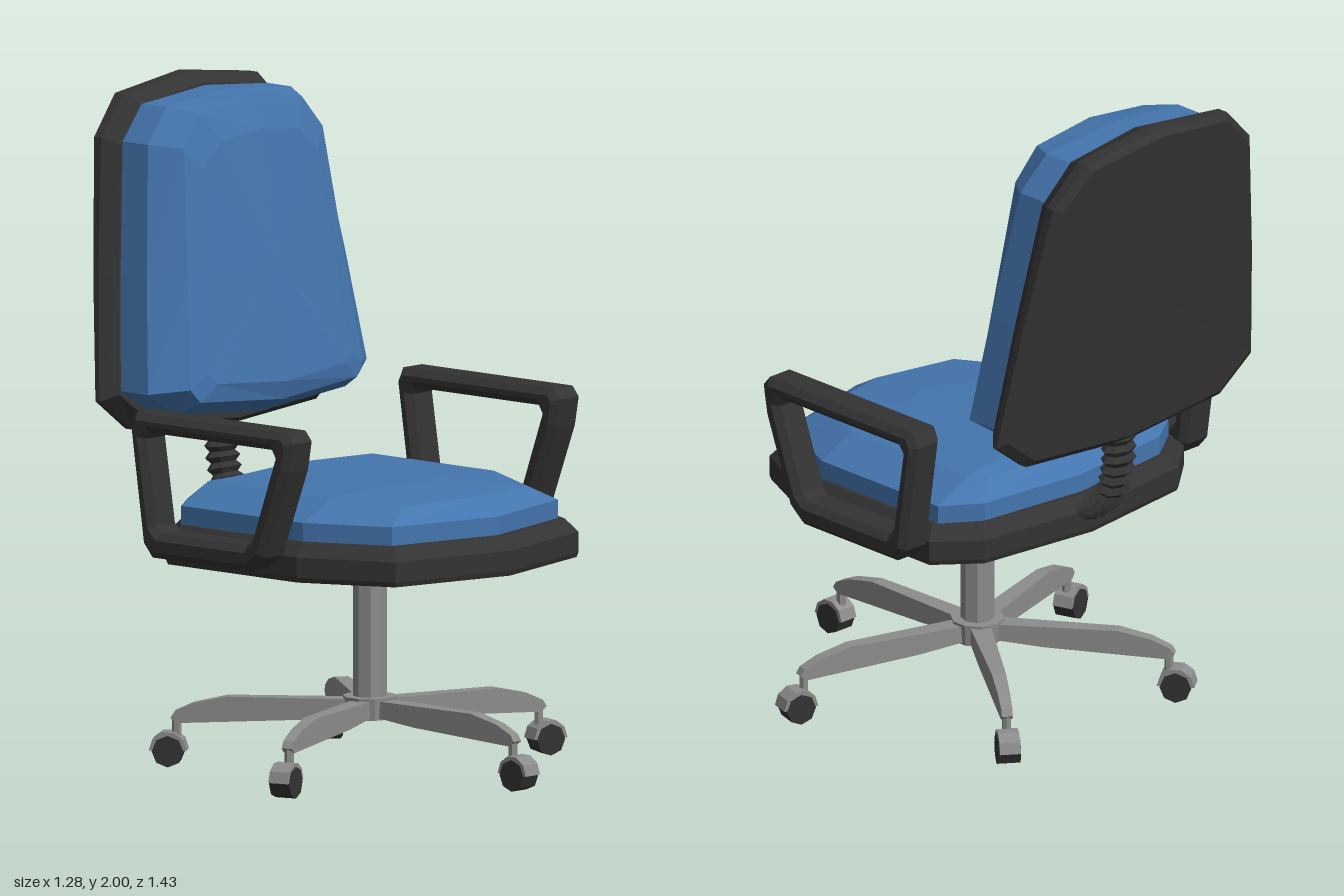
import * as THREE from 'three';

const mat = (color, side = THREE.FrontSide) =>
  new THREE.MeshStandardMaterial({ color, side, flatShading: true });
const BLUE = mat(0x4475ae), DARK = mat(0x333333), METAL = mat(0x8c8c8c);
const COVER = mat(0x8c8c8c, THREE.DoubleSide);

function add(parent, name, geometry, material, x = 0, y = 0, z = 0) {
  const mesh = new THREE.Mesh(geometry, material);
  mesh.name = name;
  mesh.position.set(x, y, z);
  parent.add(mesh);
  return mesh;
}

// Completes a half outline (first and last point on x = 0) by mirroring
const mirror = (half) => half.concat(half.slice(1, -1).reverse().map(([x, y, z]) => [-x, y, z]));

// Skin over closed rings, each end fanned to a centre point
function loft(rings, startCentre, endCentre) {
  const n = rings[0].length, points = rings.flat(), index = [];
  const a = points.push(startCentre) - 1, b = points.push(endCentre) - 1;
  const last = (rings.length - 1) * n;
  for (let i = 0; i < n; i++) {
    const j = (i + 1) % n;
    for (let r = 0; r < last; r += n) index.push(r + i, r + j, r + n + j, r + i, r + n + j, r + n + i);
    index.push(a, j, i, b, last + i, last + j);
  }
  // Turn the faces outward if the enclosed volume comes out negative
  const v = points.map((p) => new THREE.Vector3(...p));
  let volume = 0;
  for (let k = 0; k < index.length; k += 3)
    volume += v[index[k]].dot(v[index[k + 1]].clone().cross(v[index[k + 2]]));
  if (volume < 0) index.reverse();
  const g = new THREE.BufferGeometry();
  g.setAttribute('position', new THREE.Float32BufferAttribute(points.flat(), 3));
  g.setIndex(index);
  g.computeVertexNormals();
  return g;
}

// Side profile (z, y) extruded along x and centred on x = 0; holes run opposite to the outline
function sideExtrude(outline, hole, width, bevel) {
  const toPoints = (list) => list.map(([z, y]) => new THREE.Vector2(z, y));
  const shape = new THREE.Shape(toPoints(outline));
  if (hole) shape.holes.push(new THREE.Path(toPoints(hole)));
  const depth = width - 2 * bevel;
  const g = new THREE.ExtrudeGeometry(shape, {
    depth, bevelEnabled: bevel > 0, bevelThickness: bevel, bevelSize: bevel, bevelOffset: -bevel, bevelSegments: 1,
  });
  return g.translate(0, 0, -depth / 2).rotateY(-Math.PI / 2);
}

function addSeat(chair) {
  // Rings are [x, z] from front centre to back centre
  const pan = [[0, .63], [.398, .533], [.525, .255], [.525, -.265], [.4, -.37], [0, -.42]];
  const panRing = (y, s) => mirror(pan.map(([x, z]) => [x * s, y, .1 + (z - .1) * s]));
  add(chair, 'seatPan', loft([panRing(.635, .99), panRing(.65, 1), panRing(.71, 1), panRing(.75, .93)],
    [0, .635, .1], [0, .75, .1]), DARK);

  const side = [[0, .575], [.36, .485], [.475, .235], [.475, -.25], [.36, -.33], [0, -.37]];
  const sideRing = (y) => mirror(side.map(([x, z]) => [x, y, z]));
  const shoulder = [[0, .855, .49], [.27, .85, .44], [.355, .865, .235], [.355, .865, -.25], [.3, .855, -.28], [0, .86, -.31]];
  const crown = [[0, .878, .3], [.1, .878, .25], [.12, .878, .2], [.12, .878, -.2], [.1, .878, -.23], [0, .878, -.25]];
  add(chair, 'seatCushion', loft([sideRing(.73), sideRing(.805), mirror(shoulder), mirror(crown)],
    [0, .73, .1], [0, .88, 0]), BLUE);
}

function addBackrest(chair) {
  // Rings are [x, y] from top centre to bottom centre; depth leans back with height
  const lean = (y, w) => w - .14 * (y - 1);
  const ring = (half, w, bend) => mirror(half.map(([x, y]) => [x, y, lean(y, w) + bend * x * x]));
  const shrink = (half, sx, sy) => half.map(([x, y]) => [x * sx, 1.48 + (y - 1.48) * sy]);

  const shell = [[0, 2], [.29, 1.965], [.405, 1.85], [.475, 1.45], [.525, 1.09], [.4, .995], [0, .965]];
  add(chair, 'backShell', loft([
    ring(shrink(shell, .95, .96), -.575, .1), ring(shell, -.555, .08),
    ring(shell, -.51, -.03), ring(shrink(shell, .92, .95), -.455, -.08),
  ], [0, 1.48, lean(1.48, -.575)], [0, 1.48, lean(1.48, -.455)]), DARK);

  const edge = [[0, 1.965], [.27, 1.94], [.365, 1.84], [.43, 1.45], [.475, 1.12], [.37, 1.05], [0, 1.02]];
  const face = [[0, 1.95], [.22, 1.925], [.3, 1.83], [.34, 1.45], [.375, 1.13], [.34, 1.09], [0, 1.065]];
  const crown = [[0, 1.86], [.17, 1.84], [.25, 1.77], [.28, 1.45], [.31, 1.17], [.28, 1.14], [0, 1.12]];
  add(chair, 'backCushion', loft([
    ring(edge, -.48, 0), ring(edge, -.365, 0), ring(face, -.27, -.12), ring(crown, -.245, -.25),
  ], [0, 1.48, lean(1.48, -.48)], [0, 1.48, lean(1.48, -.24)]), BLUE);
}

function addBellows(chair) {
  const path = new THREE.CatmullRomCurve3([
    [0, .7, -.36], [0, .72, -.42], [0, .78, -.49], [0, .87, -.52], [0, 1.02, -.525],
  ].map((p) => new THREE.Vector3(...p)));
  const steps = 24, sides = 8;
  const g = new THREE.TubeGeometry(path, steps, 1, sides);
  const p = g.attributes.position, v = new THREE.Vector3();
  // Alternate wide and narrow rings make the folds
  for (let i = 0; i < p.count; i++) {
    const step = Math.floor(i / (sides + 1));
    const c = path.getPointAt(step / steps);
    v.fromBufferAttribute(p, i).sub(c).multiplyScalar(step % 2 ? .042 : .03);
    p.setXYZ(i, c.x + v.x * 1.5, c.y + v.y, c.z + v.z);
  }
  add(chair, 'backSupportBellows', g, DARK);
}

function addArmrests(chair) {
  const outer = [[.305, 1.095], [.33, 1.065], [.315, .98], [.215, .715], [.16, .67], [-.23, .67],
    [-.265, .71], [-.315, 1.05], [-.295, 1.095]];
  const hole = [[.245, 1.04], [-.24, 1.04], [-.255, 1.02], [-.215, .765], [-.195, .745],
    [.145, .745], [.17, .765], [.26, 1.015]];
  for (const s of [1, -1])
    add(chair, s > 0 ? 'leftArmrest' : 'rightArmrest', sideExtrude(outer, hole, .12, .02), DARK, s * .58);
}

function addBase(chair) {
  const base = new THREE.Group();
  base.name = 'base';
  base.position.z = .066;
  chair.add(base);
  add(base, 'column', new THREE.CylinderGeometry(.05, .05, .46, 8), METAL, 0, .42, 0);
  add(base, 'hub', new THREE.CylinderGeometry(.08, .075, .065, 10), METAL, 0, .188, 0);

  const profile = [[.03, .165], [.2, .148], [.57, .13], [.588, .145], [.575, .165], [.52, .19], [.42, .212], [.03, .212]];
  const legGeo = sideExtrude(profile, null, 1, 0);
  const p = legGeo.attributes.position;
  // Legs narrow toward the tip
  for (let i = 0; i < p.count; i++) p.setX(i, p.getX(i) * (.065 - .055 * p.getZ(i)));
  const wheelGeo = new THREE.CylinderGeometry(.047, .047, .066, 8).rotateZ(Math.PI / 2);
  const coverGeo = new THREE.CylinderGeometry(.056, .056, .062, 5, 1, false, 0, Math.PI).rotateZ(Math.PI / 2);
  const postGeo = new THREE.CylinderGeometry(.014, .014, .06, 6);

  for (let i = 0; i < 5; i++) {
    const leg = new THREE.Group();
    leg.name = 'leg' + (i + 1);
    leg.rotation.y = i * Math.PI * 2 / 5;
    base.add(leg);
    add(leg, 'legArm', legGeo, METAL);
    add(leg, 'casterPost', postGeo, METAL, 0, .12, .57);
    add(leg, 'casterCover', coverGeo, COVER, 0, .05, .594);
    add(leg, 'casterWheel', wheelGeo, DARK, 0, .047, .594);
  }
}

export function createModel() {
  const chair = new THREE.Group();
  chair.name = 'officeChair';
  addSeat(chair);
  addBackrest(chair);
  addBellows(chair);
  addArmrests(chair);
  addBase(chair);
  return chair;
}
